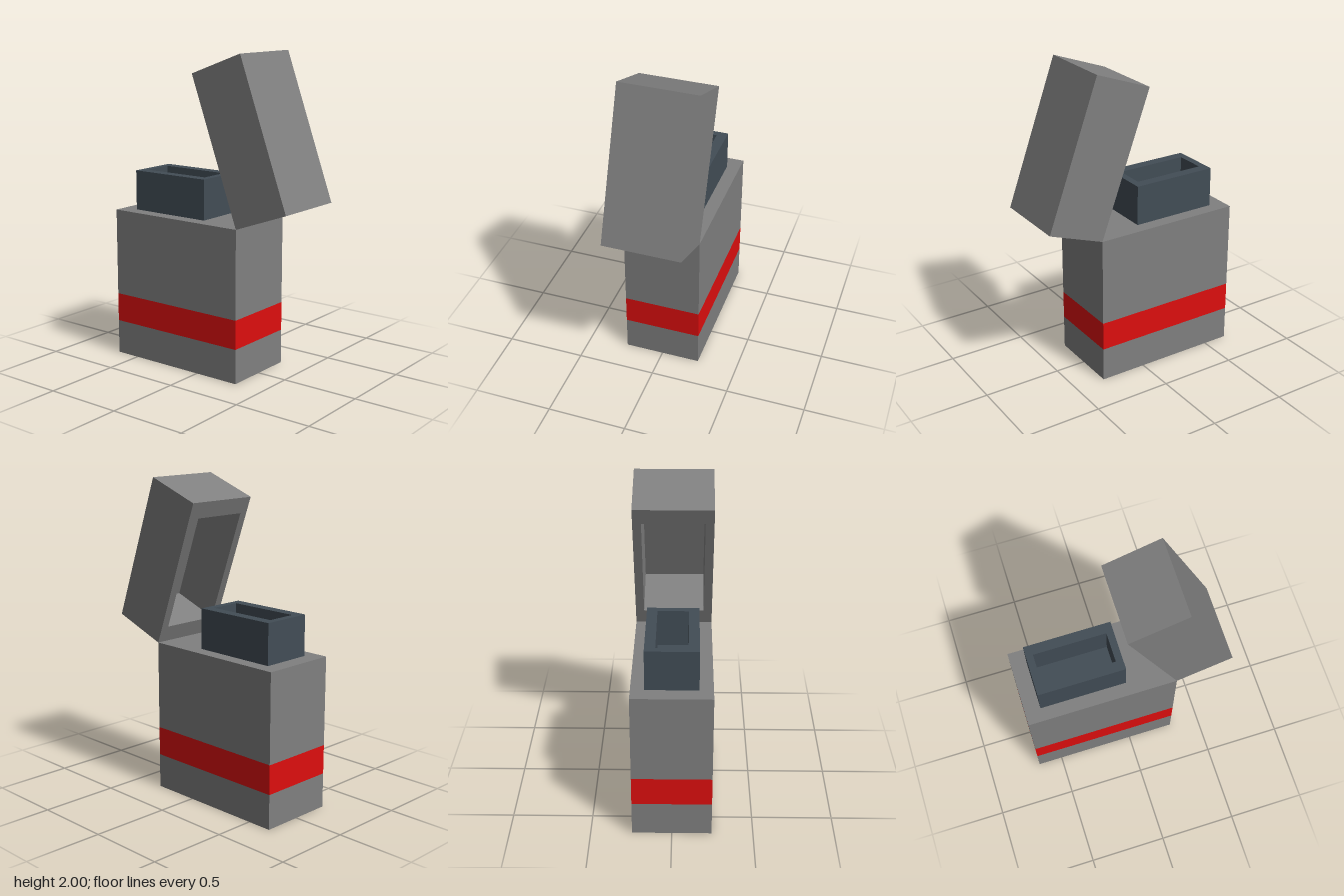
import * as THREE from 'three';

const steel = new THREE.MeshStandardMaterial({ color: 0x808080 });
steel.name = 'steel grey';
const red = new THREE.MeshStandardMaterial({ color: 0xde0e0e });
red.name = 'stripe red';
const slate = new THREE.MeshStandardMaterial({ color: 0x424d56 });
slate.name = 'slate blue';

const DEPTH = 0.49;
const BODY_W = 0.963;
const BODY_H = 0.967;
const HINGE_X = 0.302;

function rectangle(PathType, w, h) {
  return new PathType([
    new THREE.Vector2(-w / 2, -h / 2),
    new THREE.Vector2(w / 2, -h / 2),
    new THREE.Vector2(w / 2, h / 2),
    new THREE.Vector2(-w / 2, h / 2),
  ]);
}

// Hollow box with its closed end at z = 0 and its open end at z = length
function openBox(name, w, h, length, wallX, wallY, floor, material) {
  const group = new THREE.Group();
  group.name = name;
  const innerW = w - 2 * wallX;
  const innerH = h - 2 * wallY;

  const frame = rectangle(THREE.Shape, w, h);
  frame.holes.push(rectangle(THREE.Path, innerW, innerH));
  const walls = new THREE.Mesh(
    new THREE.ExtrudeGeometry(frame, { depth: length, bevelEnabled: false }), material);
  walls.name = name + 'Walls';

  const base = new THREE.Mesh(new THREE.BoxGeometry(innerW, innerH, floor), material);
  base.position.z = floor / 2;
  base.name = name + 'Floor';

  group.add(walls, base);
  return group;
}

export function createModel() {
  const model = new THREE.Group();
  model.name = 'lighter';

  // Case: three stacked bands, the middle one is the flush stripe
  const bands = [
    ['lowerCase', 0, 0.22, steel],
    ['stripe', 0.22, 0.405, red],
    ['upperCase', 0.405, BODY_H, steel],
  ];
  for (const [name, y0, y1, material] of bands) {
    const band = new THREE.Mesh(new THREE.BoxGeometry(BODY_W, y1 - y0, DEPTH), material);
    band.position.set(HINGE_X - BODY_W / 2, (y0 + y1) / 2, 0);
    band.name = name;
    model.add(band);
  }

  // Chimney: open at the top
  const chimney = openBox('chimney', 0.555, 0.322, 0.256, 0.045, 0.065, 0.02, slate);
  chimney.rotation.x = -Math.PI / 2;
  chimney.position.set(-0.283, BODY_H, 0);
  model.add(chimney);

  // Lid: hollow towards the chimney, tilted back about the hinge edge
  const lidThickness = 0.378;
  const lid = openBox('lid', DEPTH, BODY_W, lidThickness, 0.053, 0.107, 0.045, steel);
  lid.rotation.y = -Math.PI / 2;
  lid.position.set(lidThickness, BODY_W / 2, 0);
  const hinge = new THREE.Group();
  hinge.name = 'lidHinge';
  hinge.position.set(HINGE_X, BODY_H, 0);
  hinge.rotation.z = THREE.MathUtils.degToRad(20);
  hinge.add(lid);
  model.add(hinge);

  return model;
}
